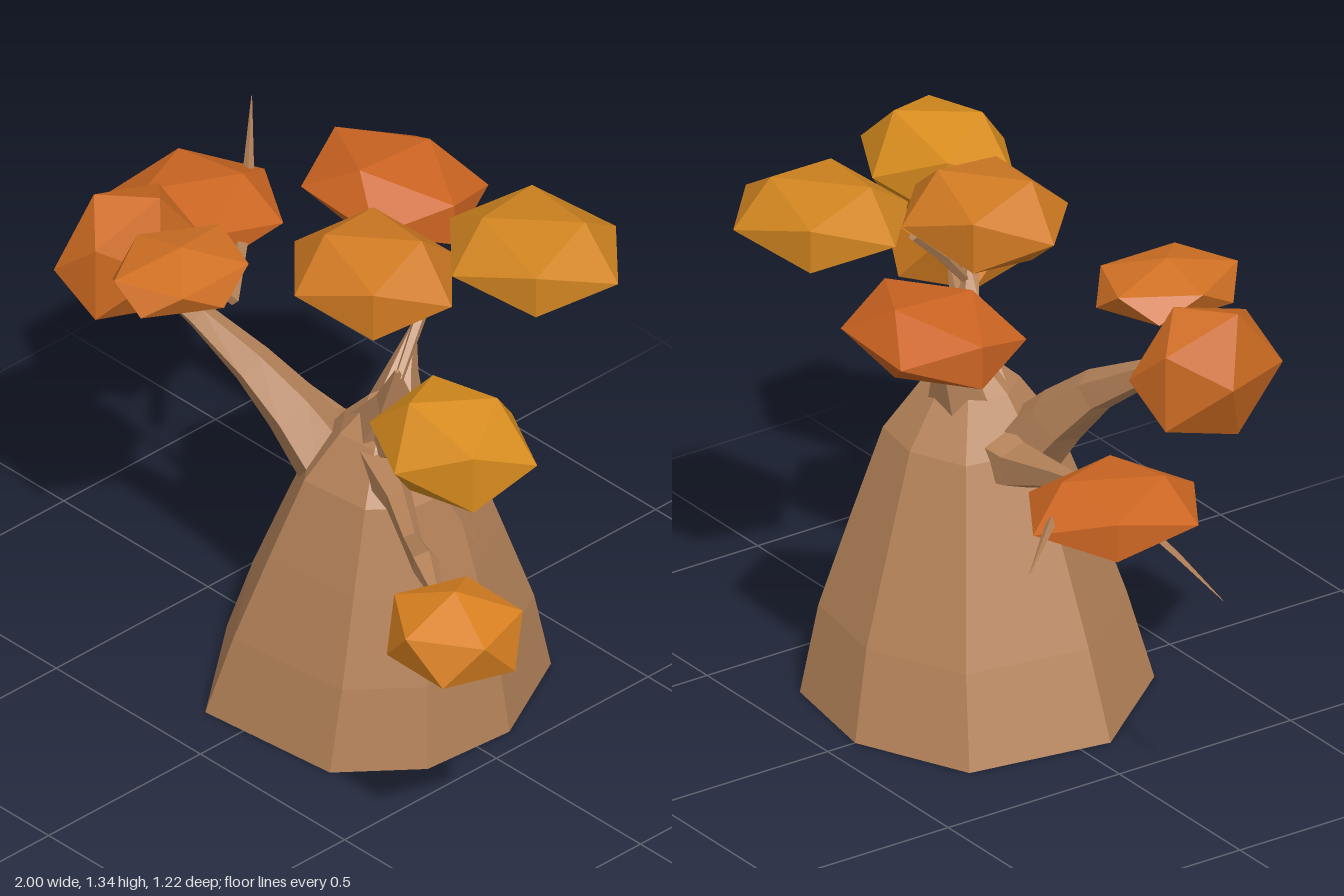
import * as THREE from 'three';

const bark = new THREE.MeshStandardMaterial({ color: 0xb5835a, flatShading: true });

// Skin a list of equal-sized rings (counterclockwise about the path) and cap both ends
function loft(rings) {
  const pos = [];
  const tri = (...corners) => corners.forEach((p) => pos.push(p.x, p.y, p.z));
  const n = rings[0].length;
  const middle = (ring) => ring.reduce((s, p) => s.add(p), new THREE.Vector3()).divideScalar(n);
  const first = rings[0], last = rings[rings.length - 1];
  const c0 = middle(first), c1 = middle(last);
  for (let j = 0; j < n; j++) {
    const k = (j + 1) % n;
    for (let i = 0; i < rings.length - 1; i++) {
      const a = rings[i], b = rings[i + 1];
      tri(a[j], a[k], b[k]);
      tri(a[j], b[k], b[j]);
    }
    tri(c0, first[k], first[j]);
    tri(c1, last[j], last[k]);
  }
  const geo = new THREE.BufferGeometry();
  geo.setAttribute('position', new THREE.Float32BufferAttribute(pos, 3));
  geo.computeVertexNormals();
  return geo;
}

// Tapered limb through points given as [x, y, z, radius]
function limb(points, sides = 4) {
  const p = points.map((q) => new THREE.Vector3(q[0], q[1], q[2]));
  const rings = p.map((c, i) => {
    const d = p[Math.min(i + 1, p.length - 1)].clone().sub(p[Math.max(i - 1, 0)]).normalize();
    const ref = Math.abs(d.y) > 0.85 ? new THREE.Vector3(1, 0, 0) : new THREE.Vector3(0, 1, 0);
    const u = ref.cross(d).normalize();
    const v = d.clone().cross(u);
    return Array.from({ length: sides }, (_, j) => {
      const a = (j / sides) * Math.PI * 2;
      return c.clone()
        .addScaledVector(u, Math.cos(a) * points[i][3])
        .addScaledVector(v, Math.sin(a) * points[i][3]);
    });
  });
  return loft(rings);
}

// Faceted leaf clump stretched to fill a box of the given centre and half size
function clump(center, half, rotation) {
  const geo = new THREE.IcosahedronGeometry(1, 0);
  geo.applyMatrix4(new THREE.Matrix4().makeRotationFromEuler(new THREE.Euler(...rotation)));
  geo.center();
  geo.computeBoundingBox();
  const m = geo.boundingBox.max;
  geo.scale(half[0] / m.x, half[1] / m.y, half[2] / m.z);
  geo.translate(...center);
  return geo;
}

export function createModel() {
  const tree = new THREE.Group();
  tree.name = 'tree';
  const add = (name, geo, material = bark) => {
    const mesh = new THREE.Mesh(geo, material);
    mesh.name = name;
    tree.add(mesh);
  };

  // Swollen trunk: one uneven octagon, shrunk and shifted as it rises
  const foot = [[-0.12, 0.37], [0.27, 0.33], [0.42, 0.15], [0.44, -0.1],
    [0.3, -0.37], [0, -0.42], [-0.29, -0.29], [-0.35, 0.08]];
  // [height, centre x, centre z, scale]
  const levels = [[0, 0.045, -0.025, 1], [0.22, 0.075, -0.018, 0.87],
    [0.45, 0.1, -0.005, 0.68], [0.67, 0.122, 0.004, 0.49], [0.79, 0.13, 0.01, 0.28], [0.85, 0.13, 0, 0.14]];
  add('trunk', loft(levels.map(([y, cx, cz, s]) =>
    foot.map(([x, z]) => new THREE.Vector3(cx + (x - 0.045) * s, y, cz + (z + 0.025) * s)))));

  // Limbs growing from the crown of the trunk
  const limbs = {
    rightUpperBranch: [[0.02, 0.62, 0.06, 0.1], [-0.1, 0.76, 0.1, 0.075], [-0.2, 0.86, 0.14, 0.055], [-0.34, 0.95, 0.18, 0.035], [-0.47, 1.01, 0.21, 0.02]],
    rightLowerBranch: [[0.05, 0.65, 0, 0.09], [-0.1, 0.66, -0.01, 0.06], [-0.28, 0.71, -0.02, 0.03], [-0.48, 0.755, -0.03, 0.003]],
    leftLowerBranch: [[0.18, 0.74, 0.08, 0.06], [0.33, 0.735, 0.16, 0.035], [0.47, 0.73, 0.25, 0.025], [0.6, 0.77, 0.33, 0.035], [0.72, 0.755, 0.4, 0.01]],
    leftUpperBranch: [[0.15, 0.77, 0.03, 0.07], [0.28, 0.84, 0.1, 0.035], [0.49, 0.915, 0.2, 0.004]],
    frontSpike: [[0.13, 0.76, 0.02, 0.1], [0.2, 0.9, 0.05, 0.05], [0.24, 1.03, 0.08, 0.006]],
    backSpike: [[0.11, 0.74, -0.02, 0.1], [0.08, 0.88, -0.09, 0.04], [0.06, 0.98, -0.15, 0.003]],
    topTwig: [[0.235, 1.0, 0.07, 0.012], [0.205, 1.1, -0.02, 0.015], [0.17, 1.2, -0.13, 0.012]],
  };
  // Loose twigs running out between the leaf clumps
  const twigs = {
    rightLowTwig: [[-0.48, 0.755, -0.02, 0.003], [-0.63, 0.74, -0.035, 0.014], [-0.8, 0.715, -0.04, 0.009], [-1, 0.68, -0.05, 0.001]],
    rightBackTwig: [[-0.48, 0.81, -0.06, 0.016], [-0.62, 0.86, -0.22, 0.022], [-0.76, 0.89, -0.38, 0.014], [-0.98, 0.9, -0.6, 0.001]],
    leftTwig: [[0.49, 0.945, 0.2, 0.016], [0.68, 0.98, 0.31, 0.014], [0.95, 1.02, 0.46, 0.001]],
  };
  for (const [name, points] of Object.entries(limbs)) add(name, limb(points, 5));
  for (const [name, points] of Object.entries(twigs)) add(name, limb(points));

  // Leaf clumps: [centre, half size, rotation, colour]
  const clumps = [
    [[-0.76, 0.87, -0.2], [0.19, 0.08, 0.24], [0, 1.05, 0], 0xcc6622],
    [[-0.56, 1.04, 0.21], [0.13, 0.16, 0.18], [0, 0.5, 0], 0xcc6a22],
    [[-0.205, 1.15, -0.335], [0.22, 0.09, 0.18], [0, 1.5, 0], 0xcc6422],
    [[-0.3, 1.145, 0.28], [0.15, 0.07, 0.175], [0, 0, 0.55], 0xd07024],
    [[0.115, 1.23, 0.04], [0.23, 0.105, 0.2], [0, 0.75, 0], 0xd07a22],
    [[0.32, 1.24, -0.295], [0.24, 0.09, 0.215], [0, 0.78, 0], 0xd08420],
    [[0.635, 1.105, 0.27], [0.205, 0.125, 0.19], [0, 1.0, 0], 0xd88c1e],
    [[0.84, 0.75, 0.46], [0.16, 0.12, 0.16], [0, 0.3, 0.55], 0xd88020],
  ];
  clumps.forEach(([center, half, rotation, color], i) =>
    add(`leafClump${i + 1}`, clump(center, half, rotation),
      new THREE.MeshStandardMaterial({ color, flatShading: true })));

  return tree;
}
